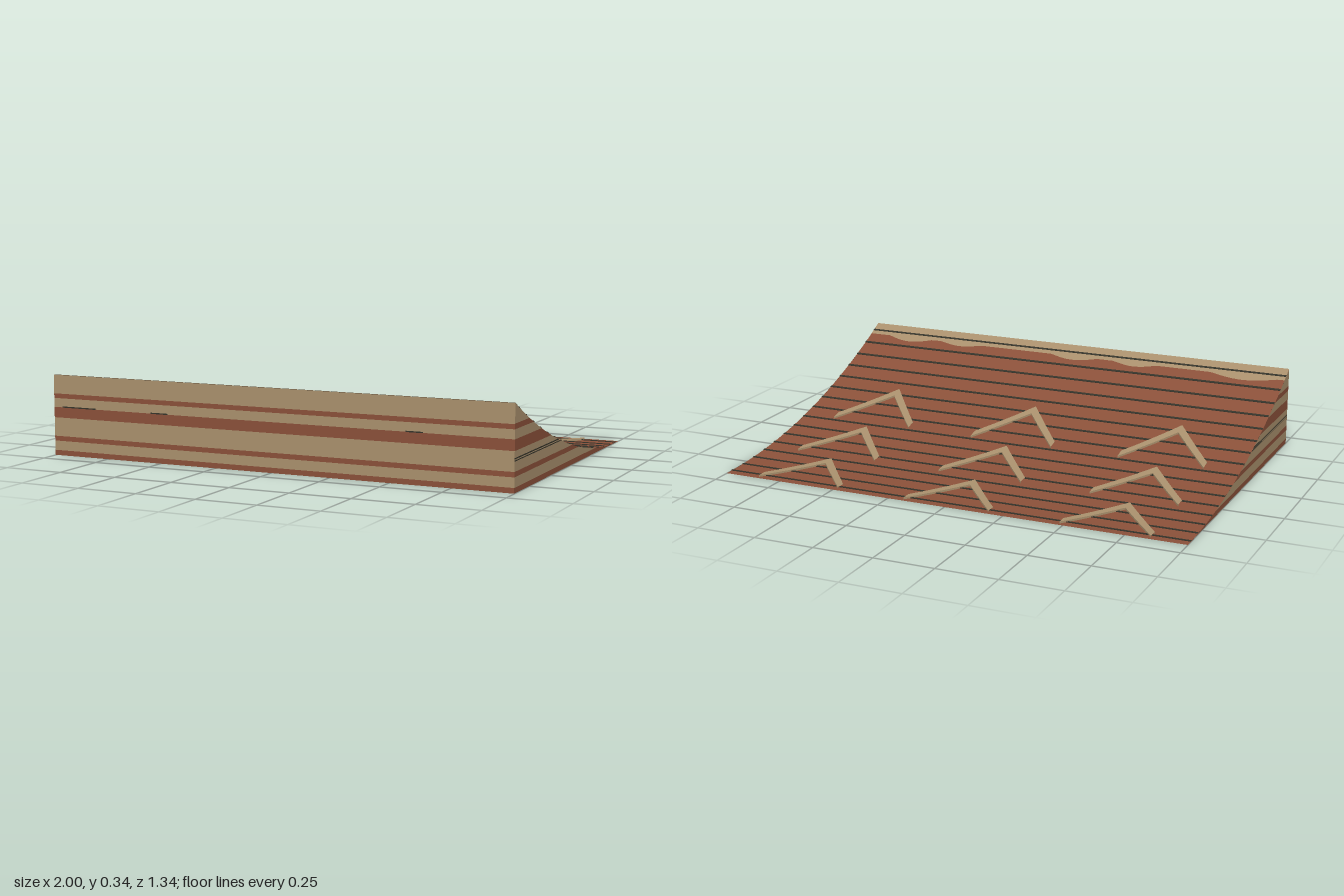
import * as THREE from 'three';

const HALF_X = 1, HALF_Z = 0.667, HEIGHT = 0.333;
const lerp = THREE.MathUtils.lerp;

// Concave ramp profile and its inverse
const rampY = z => HEIGHT * ((z + HALF_Z) / (2 * HALF_Z)) ** 2;
const rampZ = y => -HALF_Z + 2 * HALF_Z * Math.sqrt(y / HEIGHT);

export function createModel() {
  const model = new THREE.Group();
  model.name = 'curvedRamp';

  const material = (name, color) =>
    new THREE.MeshStandardMaterial({ name, color, side: THREE.DoubleSide });
  const clay = material('redClay', 0x8a5039);
  const sand = material('sandTan', 0xa88f6c);
  const joint = material('darkJoint', 0x34332a);
  const base = material('baseTan', 0x98816a);

  // Surface patch: a unit grid moved by map(u, v) -> [x, y, z]
  function patch(name, mat, nu, nv, map, parent = model, flat = false) {
    let geo = new THREE.PlaneGeometry(1, 1, nu, nv);
    const pos = geo.attributes.position;
    for (let i = 0; i < pos.count; i++) {
      pos.setXYZ(i, ...map(pos.getX(i) + 0.5, pos.getY(i) + 0.5));
    }
    if (flat) geo = geo.toNonIndexed();
    geo.computeVertexNormals();
    const mesh = new THREE.Mesh(geo, mat);
    mesh.name = name;
    parent.add(mesh);
  }

  // Patch lying on the ramp, from x0 to x1, between zFront(x) and zBack(x)
  function drape(name, mat, nu, nv, x0, x1, zFront, zBack, lift) {
    patch(name, mat, nu, nv, (u, v) => {
      const x = lerp(x0, x1, u);
      const z = lerp(zFront(x), zBack(x), v);
      return [x, rampY(z) + lift, z];
    });
  }

  // Raised strip on the ramp: front edge, flat top and back edge
  function strip(name, mat, nu, x0, x1, zFront, zBack, height, parent) {
    patch(name, mat, nu, 3, (u, v) => {
      const x = lerp(x0, x1, u);
      const z = v < 0.5 ? zFront(x) : zBack(x);
      const onTop = v > 0.2 && v < 0.8;
      return [x, rampY(z) + (onTop ? height : -0.001), z];
    }, parent, true);
  }

  // Upright wall pieces: across the front, and under the curve at each side
  function frontWall(name, mat, x0, x1, y0, y1, z) {
    patch(name, mat, 1, 1, (u, v) => [lerp(x0, x1, u), lerp(y0, y1, v), z]);
  }
  function sideWall(name, mat, side, y0, y1, x) {
    patch(name, mat, 1, 24, (u, v) => {
      // Denser steps near the toe, where the ramp is flattest
      const y = lerp(y0, y1, y0 === 0 ? v * v : v);
      return [side * x, y, lerp(HALF_Z, rampZ(y), side > 0 ? u : 1 - u)];
    });
  }

  // Riding surface and underside
  drape('rampSurface', clay, 1, 64, -HALF_X, HALF_X, () => HALF_Z, () => -HALF_Z, 0);
  patch('underside', base, 1, 1, (u, v) => [lerp(-HALF_X, HALF_X, u), 0, lerp(-HALF_Z, HALF_Z, v)]);

  // Dark core behind the layered cladding, showing through the side seams
  const inset = 0.001;
  frontWall('frontCore', joint, -HALF_X, HALF_X, 0, HEIGHT, HALF_Z - inset);
  for (const side of [1, -1]) sideWall('sideCore', joint, side, 0, HEIGHT, HALF_X - inset);

  // Front layers, clay and sand in turn
  const levels = [0, 0.021, 0.06, 0.08, 0.157, 0.2, 0.237, 0.256, HEIGHT];
  for (let i = 0; i < levels.length - 1; i++) {
    frontWall('frontLayer', i % 2 ? sand : clay, -HALF_X, HALF_X, levels[i], levels[i + 1], HALF_Z);
  }

  // Small dark chips along one front layer
  for (const [x0, x1] of [[-0.96, -0.8], [-0.54, -0.46], [0.57, 0.64]]) {
    frontWall('darkChip', joint, x0, x1, 0.199, 0.204, HALF_Z + inset);
  }

  // Side layers, with two narrow seams left open in the middle one
  const sideLayers = [
    [0, 0.021, clay], [0.021, 0.06, sand], [0.06, 0.08, clay],
    [0.08, 0.118, sand], [0.122, 0.126, sand], [0.131, 0.157, sand],
    [0.157, 0.2, clay], [0.2, 0.237, sand], [0.237, 0.258, clay], [0.258, HEIGHT, sand],
  ];
  for (const side of [1, -1]) {
    for (const [y0, y1, mat] of sideLayers) {
      sideWall(side > 0 ? 'leftLayer' : 'rightLayer', mat, side, y0, y1, HALF_X);
    }
  }

  // Worn sandy lip along the top edge: [centre, half width, depth]
  const bulges = [[-0.82, 0.15, 0.025], [-0.32, 0.1, 0.02], [-0.03, 0.11, 0.022],
    [0.53, 0.1, 0.018], [0.79, 0.11, 0.025]];
  const lipEdge = x => bulges.reduce((z, [c, w, d]) =>
    Math.abs(x - c) < w ? z - d * Math.cos((x - c) / w * Math.PI / 2) : z, 0.598);
  drape('sandyLip', sand, 120, 4, -HALF_X, HALF_X, () => HALF_Z, lipEdge, 0.0015);

  // Dark joints between the planks
  for (let i = 0; i < 16; i++) {
    const z = -0.627 + i / 12;
    strip('plankJoint', joint, 1, -HALF_X, HALF_X, () => z + 0.0042, () => z - 0.0042, 0.003);
  }

  // Chevrons, three by three, pointing up the ramp
  const reach = 0.185;
  for (const cx of [-0.667, 0, 0.667]) {
    for (const tip of [-0.381, -0.071, 0.239]) {
      const chevron = new THREE.Group();
      chevron.name = 'chevron';
      model.add(chevron);
      const outer = x => tip - Math.abs(x - cx) / reach * 0.23;
      const inner = x => tip - 0.051 - Math.abs(x - cx) / reach * 0.221;
      for (const x0 of [cx - reach, cx]) {
        strip('chevronArm', sand, 12, x0, x0 + reach, outer, inner, 0.008, chevron);
      }
    }
  }

  return model;
}
